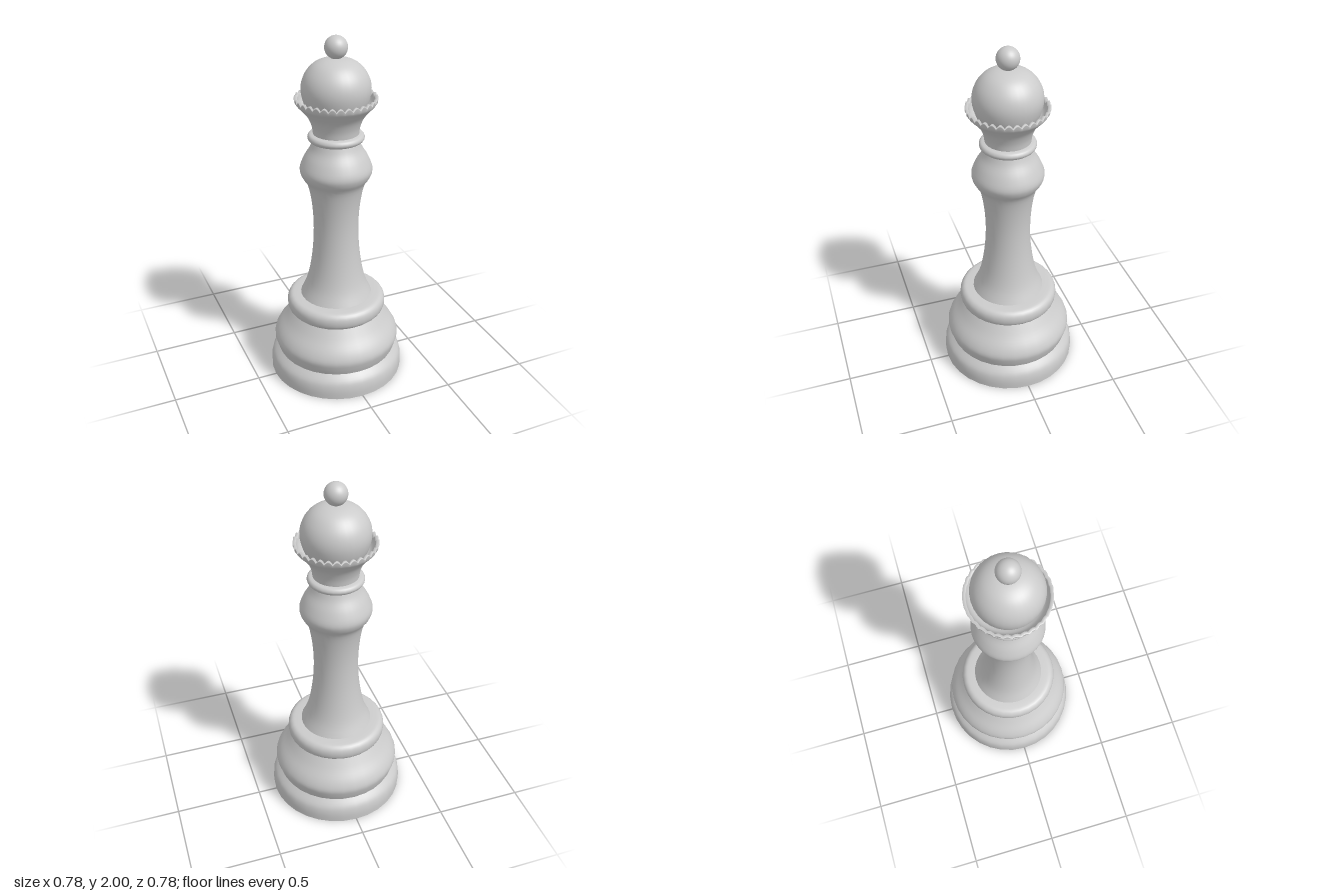
import * as THREE from 'three';

const SIDES = 32;
const material = new THREE.MeshStandardMaterial({ color: 0xcccccc, side: THREE.DoubleSide });

// Smooth curve through a few [radius, height] points
function smooth(points, steps) {
  const curve = new THREE.SplineCurve(points.map(([r, y]) => new THREE.Vector2(r, y)));
  const out = curve.getPoints(steps);
  out.forEach((p) => { p.x = Math.max(p.x, 0); });
  return out;
}

function turned(name, points, steps, sides = SIDES) {
  const mesh = new THREE.Mesh(new THREE.LatheGeometry(smooth(points, steps), sides), material);
  mesh.name = name;
  return mesh;
}

export function createModel() {
  const model = new THREE.Group();
  model.name = 'chessPiece';

  // Stepped base, open underneath
  model.add(turned('foot', [[0.39, 0], [0.39, 0.055], [0.378, 0.1], [0.343, 0.14]], 12));
  model.add(turned('baseBulge', [[0.343, 0.14], [0.357, 0.18], [0.365, 0.225], [0.345, 0.275],
    [0.3, 0.335], [0.262, 0.392]], 18));
  model.add(turned('baseRing', [[0.262, 0.392], [0.279, 0.41], [0.285, 0.44], [0.28, 0.468],
    [0.262, 0.487], [0.235, 0.492], [0.205, 0.494]], 18));

  // Waisted stem swelling out below the collar
  model.add(turned('stem', [[0.205, 0.494], [0.172, 0.57], [0.148, 0.67], [0.131, 0.8], [0.126, 0.94],
    [0.135, 1.07], [0.156, 1.18], [0.188, 1.235], [0.198, 1.28], [0.175, 1.34],
    [0.142, 1.395], [0.126, 1.435]], 44));
  model.add(turned('collar', [[0.126, 1.435], [0.145, 1.44], [0.154, 1.457], [0.145, 1.474],
    [0.124, 1.48]], 14));

  // Flared crown with a scalloped rim and a hollow inner wall
  const teeth = 32;
  const outer = smooth([[0.124, 1.48], [0.13, 1.52], [0.15, 1.57], [0.185, 1.615], [0.212, 1.645],
    [0.221, 1.681]], 18);
  const inner = smooth([[0.206, 1.681], [0.196, 1.65], [0.178, 1.625], [0.155, 1.61]], 8);
  const crownGeometry = new THREE.LatheGeometry([...outer, ...inner], teeth * 8);
  const pos = crownGeometry.attributes.position;
  for (let i = 0; i < pos.count; i++) {
    const y = pos.getY(i);
    const reach = THREE.MathUtils.clamp((y - 1.645) / 0.036, 0, 1);
    const angle = Math.atan2(pos.getX(i), pos.getZ(i));
    const notch = 1 - Math.abs(Math.sin(angle * teeth / 2));
    pos.setY(i, y - 0.02 * reach * notch);
  }
  const crown = new THREE.Mesh(crownGeometry, material);
  crown.name = 'crown';
  model.add(crown);

  // Dome inside the crown and the ball on top
  model.add(turned('dome', [[0.155, 1.61], [0.175, 1.66], [0.185, 1.715], [0.179, 1.765], [0.157, 1.812],
    [0.118, 1.853], [0.065, 1.877], [0, 1.885]], 28));
  const ball = new THREE.Mesh(new THREE.SphereGeometry(0.061, 32, 20), material);
  ball.name = 'finialBall';
  ball.position.y = 1.939;
  model.add(ball);

  return model;
}
